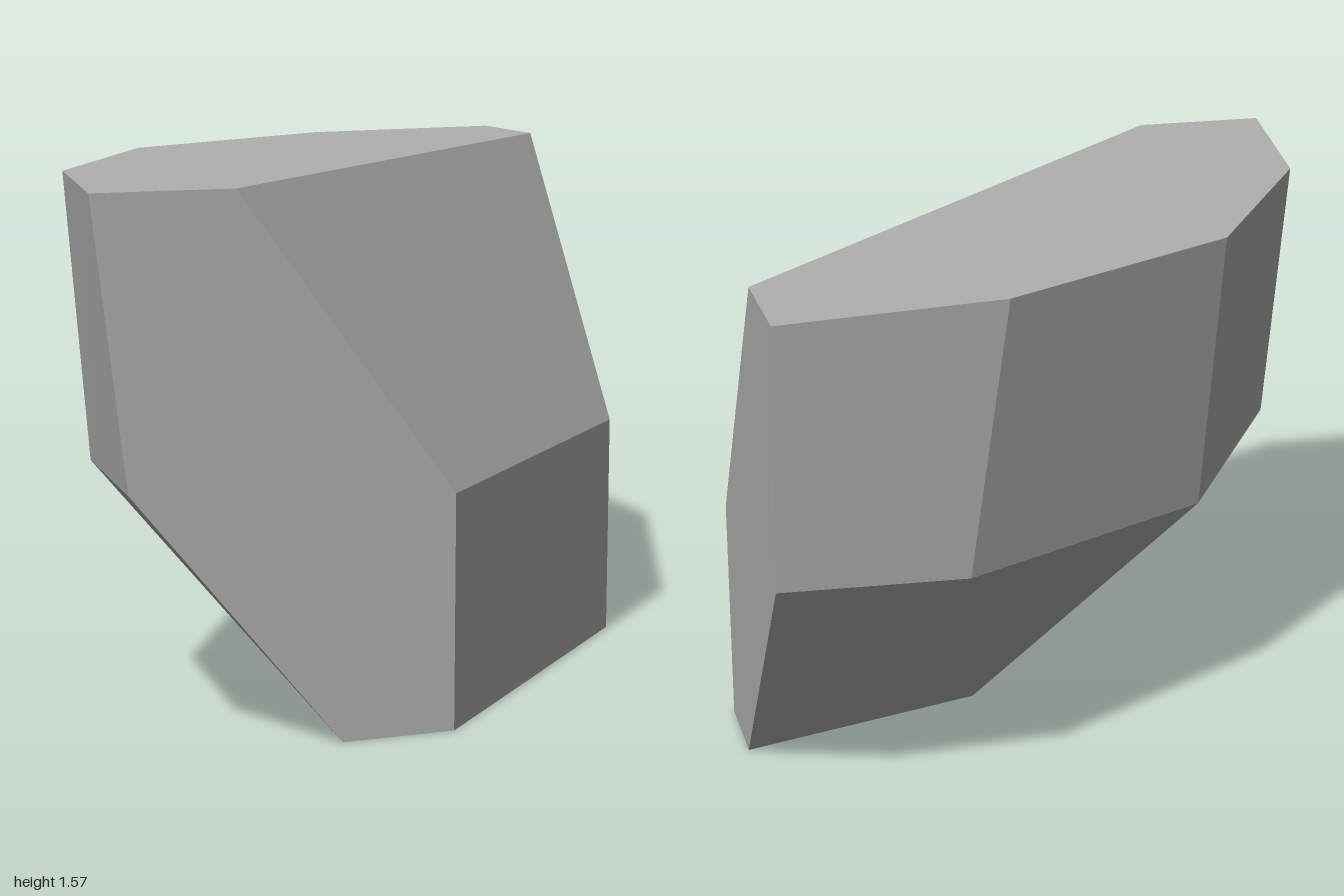
import * as THREE from 'three';
import { ConvexGeometry } from 'three/addons/geometries/ConvexGeometry.js';

// Faceted boulder: a convex hull around three cross-sections
export function createModel() {
  const group = new THREE.Group();
  group.name = 'rock';

  const stone = new THREE.MeshStandardMaterial({ color: 0xb0b0b0 });
  stone.name = 'stone grey';

  const H = 1.57;
  // flat top outline, [x, z]
  const top = [[-1, 0.975], [-0.59, 0.975], [1, -0.6], [1, -0.975], [0.33, -0.89], [-0.43, -0.45], [-0.88, 0.28]];
  // uneven waist, [x, y, z]; the first two are the lower edge of the sloping face
  const waist = [
    [0.06, 0.69, 0.975], [1, 0.69, 0.04],
    [1, 0.78, -0.9], [0.44, 0.75, -0.86], [-0.38, 0.72, -0.38], [-0.83, 0.735, 0.36], [-0.9, 0.75, 0.975],
  ];
  // small base outline, [x, z]
  const base = [[0.06, 0.975], [1, 0.04], [1, -0.25], [0.25, -0.04], [-0.28, 0.975]];

  const points = [
    ...top.map(([x, z]) => new THREE.Vector3(x, H, z)),
    ...waist.map((p) => new THREE.Vector3(...p)),
    ...base.map(([x, z]) => new THREE.Vector3(x, 0, z)),
  ];

  const boulder = new THREE.Mesh(new ConvexGeometry(points), stone);
  boulder.name = 'boulder';
  group.add(boulder);
  return group;
}
